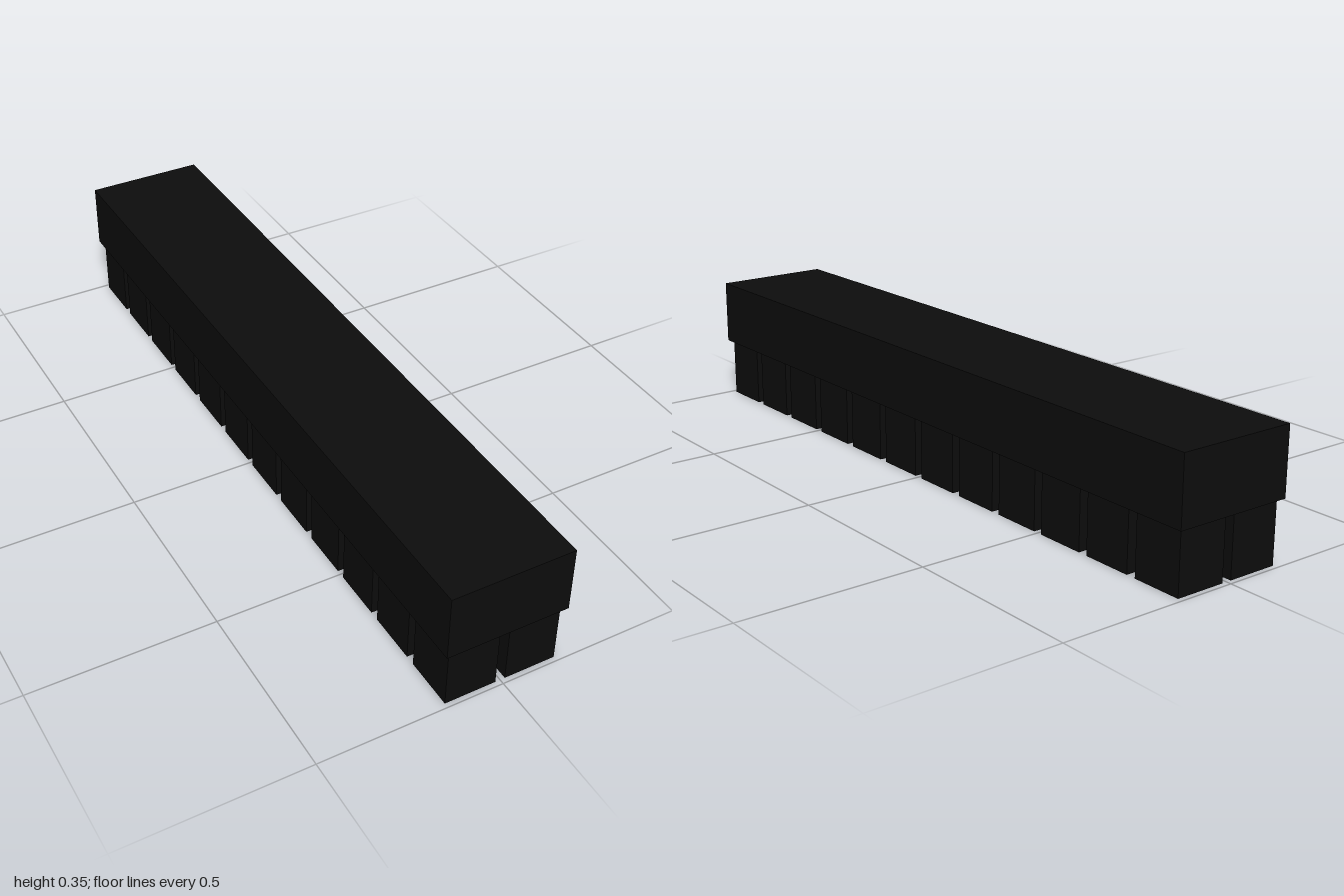
import * as THREE from 'three';

export function createModel() {
  const model = new THREE.Group();
  model.name = 'pinHeader';

  const blackPlastic = new THREE.MeshStandardMaterial({ color: 0x0d0d0d });
  blackPlastic.name = 'blackPlastic';

  const rows = 12;
  const pitch = 2 / rows;
  const height = 0.35;
  const blockSize = 0.14;
  const blockHeight = 0.168;

  // Solid upper bar
  const bar = new THREE.Mesh(
    new THREE.BoxGeometry(pitch * 2, height - blockHeight, 2), blackPlastic);
  bar.name = 'upperBar';
  bar.position.y = (height + blockHeight) / 2;
  model.add(bar);

  // Two columns of separate blocks below the bar
  const blocks = new THREE.Group();
  blocks.name = 'lowerBlocks';
  const blockGeometry = new THREE.BoxGeometry(blockSize, blockHeight, blockSize);
  for (const side of [-1, 1]) {
    for (let i = 0; i < rows; i++) {
      const block = new THREE.Mesh(blockGeometry, blackPlastic);
      block.name = side > 0 ? 'leftBlock' : 'rightBlock';
      block.position.set(side * pitch / 2, blockHeight / 2, (i - (rows - 1) / 2) * pitch);
      blocks.add(block);
    }
  }
  model.add(blocks);

  return model;
}
